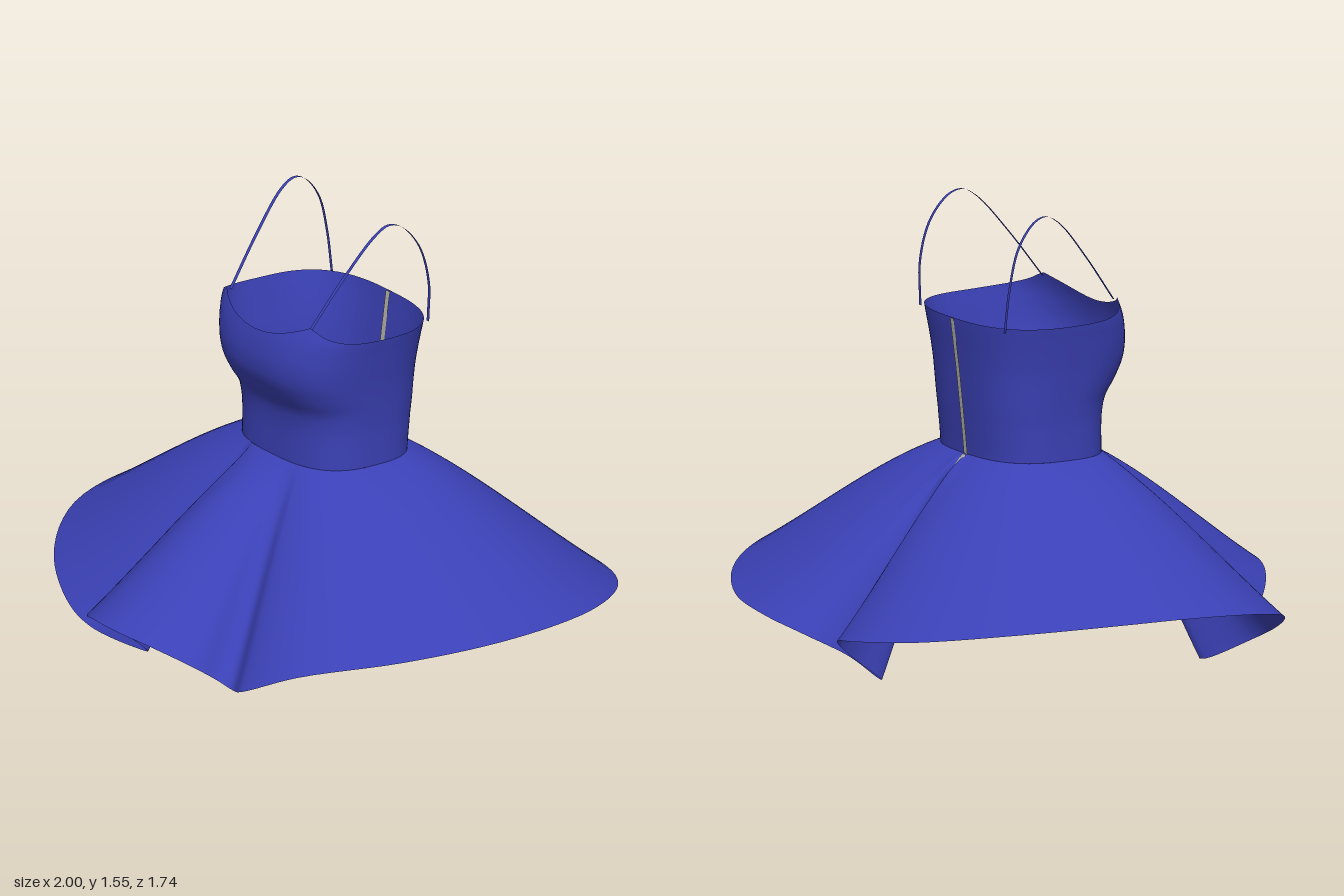
import * as THREE from 'three';

const fabric = new THREE.MeshStandardMaterial({ color: 0x3b41b6, side: THREE.DoubleSide });
fabric.name = 'blue fabric';
const zipTape = new THREE.MeshStandardMaterial({ color: 0xb4b2a6, side: THREE.DoubleSide });
zipTape.name = 'grey zip';
const zipMetal = new THREE.MeshStandardMaterial({ color: 0x9a9272 });
zipMetal.name = 'zip metal';

// Smooth sheet from fn(u, v); u runs around (optionally closed), v runs up
function loft(cols, rows, closed, fn) {
  const pos = [], idx = [], n = closed ? cols : cols + 1;
  for (let j = 0; j <= rows; j++)
    for (let i = 0; i < n; i++) pos.push(...fn(i / cols, j / rows));
  for (let j = 0; j < rows; j++)
    for (let i = 0; i < cols; i++) {
      const a = j * n + i, b = j * n + (i + 1) % n;
      idx.push(a, b, b + n, a, b + n, a + n);
    }
  const g = new THREE.BufferGeometry();
  g.setAttribute('position', new THREE.Float32BufferAttribute(pos, 3));
  g.setIndex(idx);
  g.computeVertexNormals();
  return g;
}

const lerp = THREE.MathUtils.lerp;

// Bodice cross-sections: height, half width, front z, back z
const sections = [
  [0.73, 0.29, 0.2, -0.24], [0.85, 0.293, 0.2, -0.25], [0.92, 0.3, 0.212, -0.257],
  [0.97, 0.307, 0.245, -0.262], [1.03, 0.316, 0.275, -0.268], [1.09, 0.327, 0.284, -0.275],
  [1.15, 0.338, 0.278, -0.283], [1.2, 0.348, 0.264, -0.288], [1.26, 0.35, 0.24, -0.29],
];
const sectionCurves = [1, 2, 3].map(k =>
  new THREE.SplineCurve(sections.map(s => new THREE.Vector2(s[0], s[k]))));

// Point on the rounded-rectangle body at angle a (0 = front, 90 = left) and height y
function bodyPoint(a, y) {
  let i = 0;
  while (i < sections.length - 2 && y > sections[i + 1][0]) i++;
  const f = (y - sections[i][0]) / (sections[i + 1][0] - sections[i][0]);
  const t = (i + f) / (sections.length - 1);
  const [w, zf, zb] = sectionCurves.map(c => c.getPoint(t).y);
  const dx = Math.sin(a), dz = Math.cos(a), d = (zf - zb) / 2, n = 2.8;
  const r = Math.pow(Math.pow(Math.abs(dx) / w, n) + Math.pow(Math.abs(dz) / d, n), -1 / n);
  return [dx * r, y, (zf + zb) / 2 + dz * r];
}

// Neckline: peaks where the straps start, dips at the front centre
function neckline(a) {
  const deg = Math.abs(THREE.MathUtils.radToDeg(Math.atan2(Math.sin(a), Math.cos(a))));
  if (deg < 46) return 1.19 + 0.06 * Math.pow(deg / 46, 2);
  return 1.192 + 0.058 * Math.exp(-(deg - 46) / 13);
}

// Skirt hem: waist angle, then x, y, z of the hem point below it
const hem = [
  [0, 0.05, 0.27, 0.87], [10, 0.2, 0.25, 0.83], [18, 0.32, 0.2, 0.75], [24, 0.36, 0.15, 0.68],
  [29, 0.41, 0.13, 0.66], [36, 0.52, 0.165, 0.695], [50, 0.7, 0.25, 0.6], [70, 0.92, 0.31, 0.33],
  [90, 1, 0.33, 0], [110, 0.94, 0.32, -0.38], [130, 0.74, 0.28, -0.67], [148, 0.48, 0.235, -0.83],
  [162, 0.22, 0.21, -0.87], [172, 0.05, 0.17, -0.82], [178, -0.025, 0.1, -0.7],
  [181, -0.02, 0.01, -0.58], [183, -0.04, 0.01, -0.58], [186, -0.05, 0.1, -0.7],
  [191, -0.1, 0.17, -0.79], [200, -0.3, 0.21, -0.835], [216, -0.56, 0.245, -0.75],
  [235, -0.82, 0.29, -0.5], [254, -0.96, 0.315, -0.22], [270, -1, 0.32, 0],
  [288, -0.93, 0.29, 0.32], [306, -0.72, 0.22, 0.56], [318, -0.5, 0.13, 0.65],
  [324, -0.4, 0.08, 0.63], [328, -0.3, 0.01, 0.51], [330, -0.275, 0.01, 0.5],
  [334, -0.33, 0.12, 0.62], [338, -0.345, 0.16, 0.67], [346, -0.22, 0.22, 0.79],
  [353, -0.1, 0.26, 0.85],
];
const hemCurve = new THREE.CatmullRomCurve3(
  hem.map(h => new THREE.Vector3(h[1], h[2], h[3])), true, 'centripetal');

function skirtPoint(u, v) {
  const s = 1 - v, k = u * hem.length, i = Math.min(Math.floor(k + 1e-9), hem.length - 1);
  const deg = lerp(hem[i][0], i + 1 < hem.length ? hem[i + 1][0] : 360, k - i);
  const top = bodyPoint(THREE.MathUtils.degToRad(deg), 0.73), low = hemCurve.getPoint(u);
  // Fabric lifts slightly over the hips, and more in the back pleat
  const lift = (0.15 + 0.4 * Math.exp(-Math.pow((deg - 182) / 8, 2))) * s * (1 - s) * (1 - s);
  return [lerp(top[0], low.x, s), Math.max(0, lerp(top[1], low.y, s) + lift), lerp(top[2], low.z, s)];
}

// Flat ribbon of a given width in x along a path, shifted in z
function ribbon(points, width, steps, shift = 0) {
  const curve = new THREE.CatmullRomCurve3(points.map(p => new THREE.Vector3(...p)));
  return loft(1, steps, false, (u, v) => {
    const p = curve.getPoint(v);
    return [p.x + (u - 0.5) * width, p.y, p.z + shift];
  });
}

export function createModel() {
  const dress = new THREE.Group();
  dress.name = 'dress';
  const add = (name, geometry, material) => {
    const mesh = new THREE.Mesh(geometry, material);
    mesh.name = name;
    dress.add(mesh);
    return mesh;
  };

  add('bodice', loft(96, 28, true, (u, v) => {
    const a = u * Math.PI * 2;
    return bodyPoint(a, lerp(0.73, neckline(a), v));
  }), fabric);

  add('skirt', loft(hem.length * 6, 18, true, skirtPoint), fabric);

  // Shoulder straps
  for (const [side, name] of [[1, 'leftStrap'], [-1, 'rightStrap']]) {
    const path = [[0.225, 1.24, 0.2], [0.245, 1.4, 0.08], [0.262, 1.525, -0.03], [0.266, 1.555, -0.085],
      [0.272, 1.54, -0.135], [0.28, 1.46, -0.2], [0.284, 1.33, -0.236], [0.268, 1.18, -0.245]];
    add(name, ribbon(path.map(p => [p[0] * side, p[1], p[2]]), 0.014, 40), fabric);
  }

  // Zip down the back, visible outside and inside the bodice
  const bodiceZip = [0, 1, 2, 3, 4, 5].map(i => {
    const y = lerp(1.19, 0.73, i / 5);
    return [-0.008 - 0.01 * i / 5, y, bodyPoint(Math.PI, y)[2]];
  });
  add('zipOutside', ribbon(bodiceZip, 0.022, 20, -0.004), zipTape);
  add('zipInside', ribbon(bodiceZip, 0.022, 20, 0.004), zipTape);
  add('skirtZip', ribbon(
    [[-0.018, 0.73, -0.246], [-0.024, 0.64, -0.325], [-0.036, 0.5, -0.412]], 0.022, 12, -0.004), zipTape);

  const pull = add('zipPull', new THREE.BoxGeometry(0.018, 0.03, 0.01), zipMetal);
  pull.position.set(-0.037, 0.49, -0.42);
  pull.rotation.x = 0.5;
  return dress;
}
